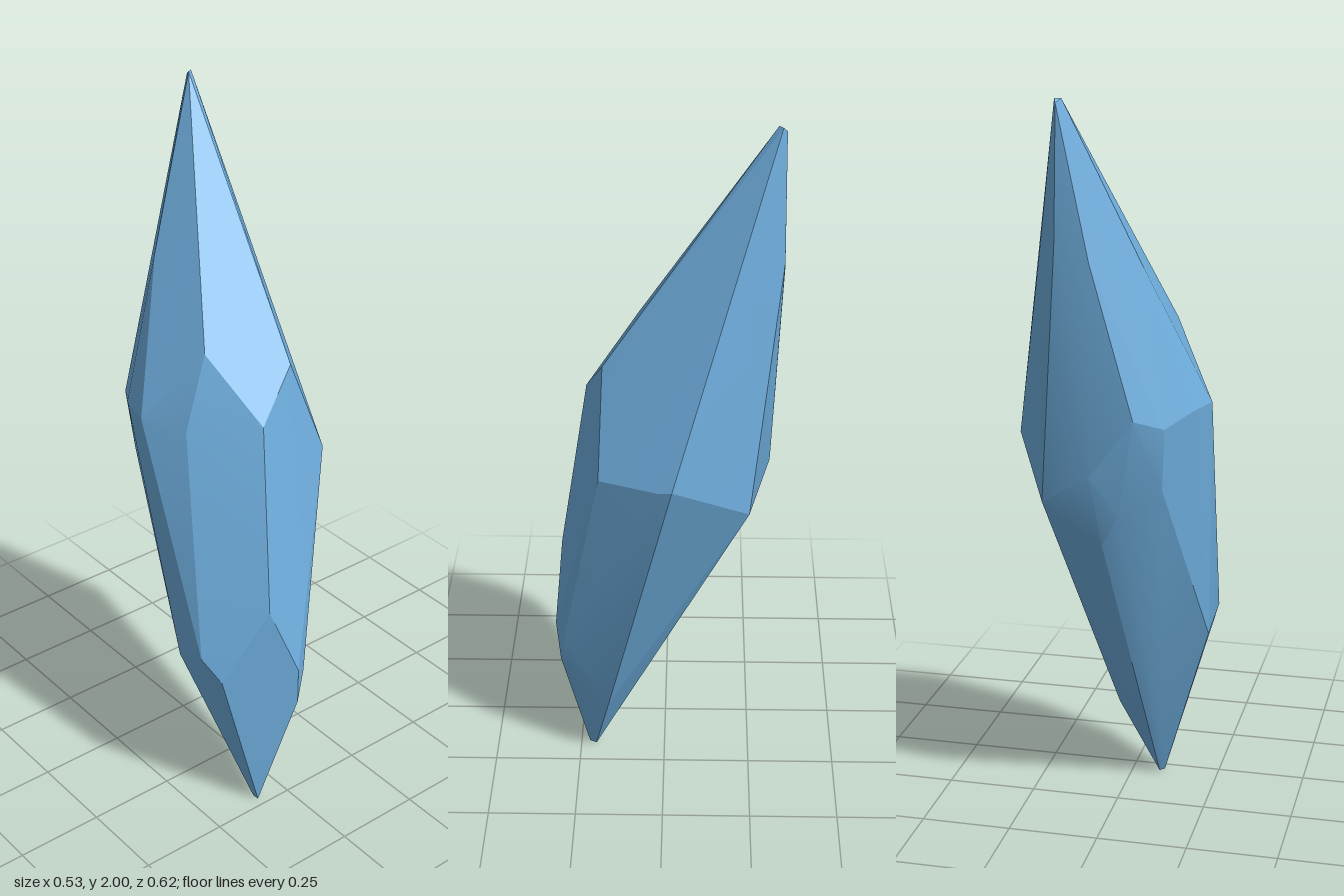
import * as THREE from 'three';
import { ConvexGeometry } from 'three/addons/geometries/ConvexGeometry.js';
import { toCreasedNormals } from 'three/addons/utils/BufferGeometryUtils.js';

// Corners of the shard, grouped by height [x, y, z]
const corners = [
  // upper tip
  [0.075, 2, -0.28], [0.09, 2, -0.29], [0.085, 1.99, -0.3],
  // upper slopes
  [0.09, 1.65, -0.305], [0, 1.6, -0.31], [-0.11, 1.58, -0.19], [0.15, 1.62, -0.22],
  // shoulder ring, front
  [0.06, 1.34, 0.16], [-0.15, 1.4, 0.07], [-0.07, 1.22, 0.21],
  [-0.22, 1.2, 0.08], [0.17, 1.06, 0.17],
  // shoulder ring, sides and back
  [0.265, 1.08, -0.025], [0.25, 1.07, 0.01], [-0.268, 1.2, -0.05], [-0.24, 1.2, -0.15],
  [-0.18, 1.17, -0.245], [-0.11, 1.2, -0.3], [0.01, 1.04, -0.285], [0.15, 0.95, -0.23],
  [-0.17, 1, -0.22], [-0.06, 0.93, -0.25], [-0.01, 0.84, -0.225],
  // lower ring
  [-0.11, 0.7, 0.292], [-0.02, 0.48, 0.31], [-0.255, 0.55, 0.18], [-0.22, 0.48, 0.225],
  [-0.245, 0.5, 0.07], [-0.01, 0.36, 0.298], [0.02, 0.45, 0.285], [0.03, 0.23, 0.16],
  // lower tip
  [-0.09, 0, 0.225], [-0.08, 0, 0.205], [-0.095, 0.005, 0.21],
];

export function createModel() {
  const crystalBlue = new THREE.MeshStandardMaterial({ color: 0x70b0e0 });
  crystalBlue.name = 'crystalBlue';

  // Faceted stone with slightly softened shallow edges
  const hull = new ConvexGeometry(corners.map((p) => new THREE.Vector3(...p)));
  const crystal = new THREE.Mesh(toCreasedNormals(hull, 0.3), crystalBlue);
  crystal.name = 'crystalShard';

  const model = new THREE.Group();
  model.name = 'crystal';
  model.add(crystal);
  return model;
}
